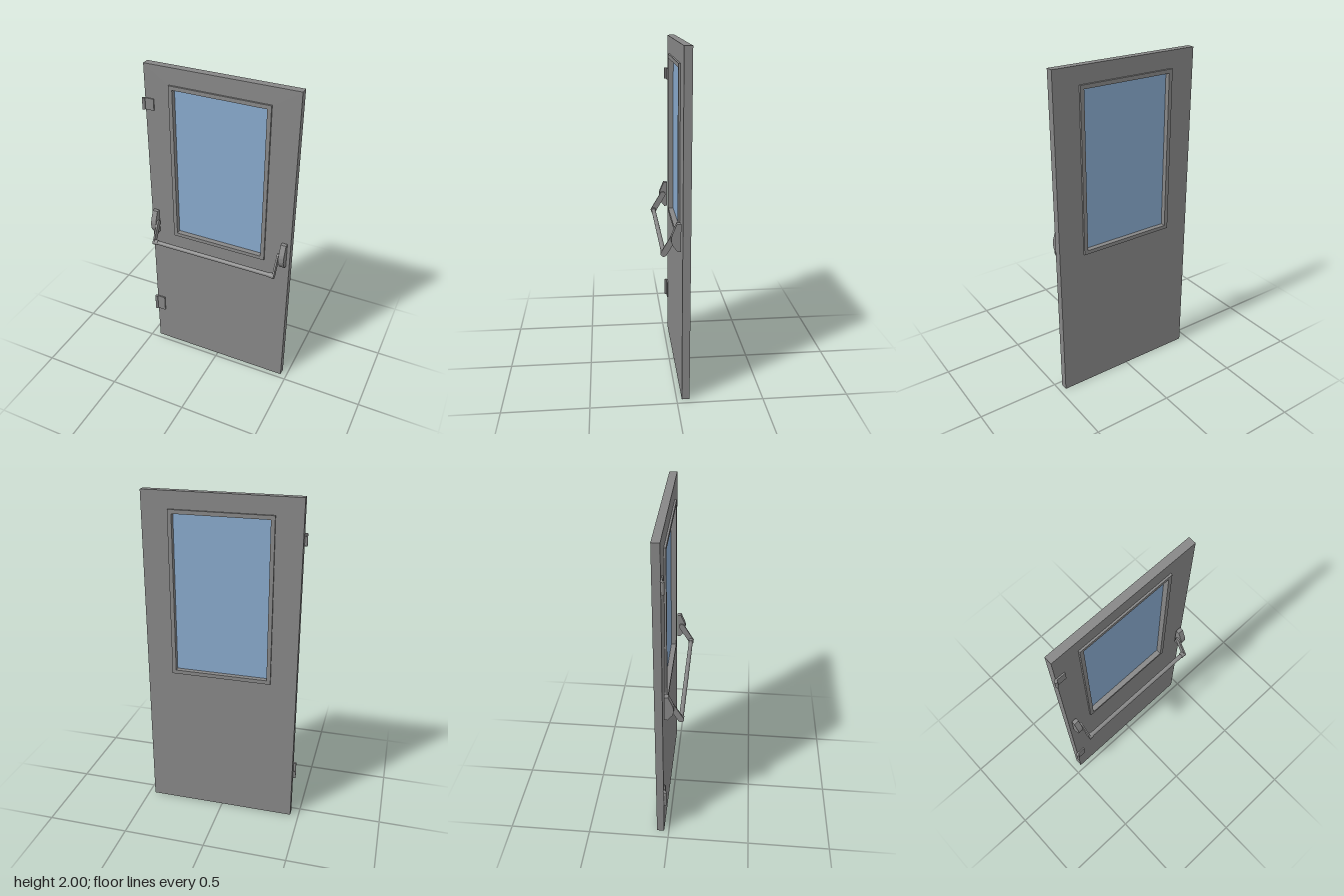
import * as THREE from 'three';

const grey = new THREE.MeshStandardMaterial({ color: 0x878787 });
const blue = new THREE.MeshStandardMaterial({ color: 0x88a9cc });

function add(parent, name, geometry, material = grey) {
  const mesh = new THREE.Mesh(geometry, material);
  mesh.name = name;
  parent.add(mesh);
}

// Box given by its limits
function box(x0, x1, y0, y1, z0, z1) {
  return new THREE.BoxGeometry(x1 - x0, y1 - y0, z1 - z0)
    .translate((x0 + x1) / 2, (y0 + y1) / 2, (z0 + z1) / 2);
}

// Rectangular slab with a rectangular opening; rects are [x0, x1, y0, y1]
function frame(outer, inner, z0, z1) {
  const corners = ([x0, x1, y0, y1]) =>
    [[x0, y0], [x1, y0], [x1, y1], [x0, y1]].map(([x, y]) => new THREE.Vector2(x, y));
  const shape = new THREE.Shape(corners(outer));
  shape.holes.push(new THREE.Path(corners(inner)));
  return new THREE.ExtrudeGeometry(shape, { depth: z1 - z0, bevelEnabled: false }).translate(0, 0, z0);
}

// Side profile drawn in (z, y), extruded from x0 to x1
function sideExtrude(shape, x0, x1) {
  return new THREE.ExtrudeGeometry(shape, { depth: x1 - x0, bevelEnabled: false, curveSegments: 10 })
    .rotateY(-Math.PI / 2).translate(x1, 0, 0);
}

// Rod along x
function rod(x0, x1, y, z, r) {
  return new THREE.CylinderGeometry(r, r, x1 - x0, 24).rotateZ(Math.PI / 2)
    .translate((x0 + x1) / 2, y, z);
}

export function createModel() {
  const door = new THREE.Group();
  door.name = 'door';

  // Leaf and glazing
  add(door, 'doorLeaf', frame([-0.449, 0.462, 0, 2], [-0.285, 0.295, 0.922, 1.89], -0.075, -0.03));
  add(door, 'windowFrame', frame([-0.296, 0.305, 0.911, 1.9], [-0.273, 0.282, 0.934, 1.877], -0.087, -0.019));
  add(door, 'windowGlass', box(-0.28, 0.289, 0.928, 1.884, -0.057, -0.05), blue);

  // Hinges: flat plate and rolled barrel
  for (const [y0, y1] of [[1.732, 1.801], [0.25, 0.358]]) {
    const hinge = new THREE.Group();
    hinge.name = 'hinge';
    add(hinge, 'hingePlate', box(-0.455, -0.394, y0, y1, -0.032, -0.022));
    add(hinge, 'hingeBarrel', new THREE.CylinderGeometry(0.009, 0.009, y1 - y0, 20)
      .translate(-0.455, (y0 + y1) / 2, -0.02));
    door.add(hinge);
  }

  // Push bar, built about its own middle
  const pushBar = new THREE.Group();
  pushBar.name = 'pushBar';
  pushBar.position.x = 0.007;
  const barY = 0.888, barZ = 0.068;

  const housing = new THREE.Shape([
    [-0.023, 0.91], [-0.004, 0.91], [0.024, 0.947], [0.029, 0.964],
    [0.029, 0.994], [0.024, 1.012], [0, 1.069], [-0.023, 1.069],
  ].map(([z, y]) => new THREE.Vector2(z, y)));

  // Arm outline: round-ended strap from pivot down to the bar
  const pivotY = 0.992, pivotZ = 0.007, armR = 0.0175;
  const along = Math.atan2(barY - pivotY, barZ - pivotZ);
  const arm = new THREE.Shape();
  arm.absarc(barZ, barY, armR, along - Math.PI / 2, along + Math.PI / 2, false);
  arm.absarc(pivotZ, pivotY, armR, along + Math.PI / 2, along + Math.PI * 1.5, false);
  arm.closePath();

  for (const side of [-1, 1]) {
    const span = (a, b) => side > 0 ? [a, b] : [-b, -a];
    add(pushBar, 'barHousing', sideExtrude(housing, ...span(0.404, 0.437)));
    add(pushBar, 'barArm', sideExtrude(arm, ...span(0.391, 0.401)));
    add(pushBar, 'armPivot', rod(...span(0.395, 0.41), pivotY, pivotZ, 0.009));
    add(pushBar, 'barCollar', rod(...span(0.371, 0.396), barY, barZ, 0.0165));
  }
  add(pushBar, 'barRod', rod(-0.375, 0.375, barY, barZ, 0.013));
  door.add(pushBar);

  return door;
}
